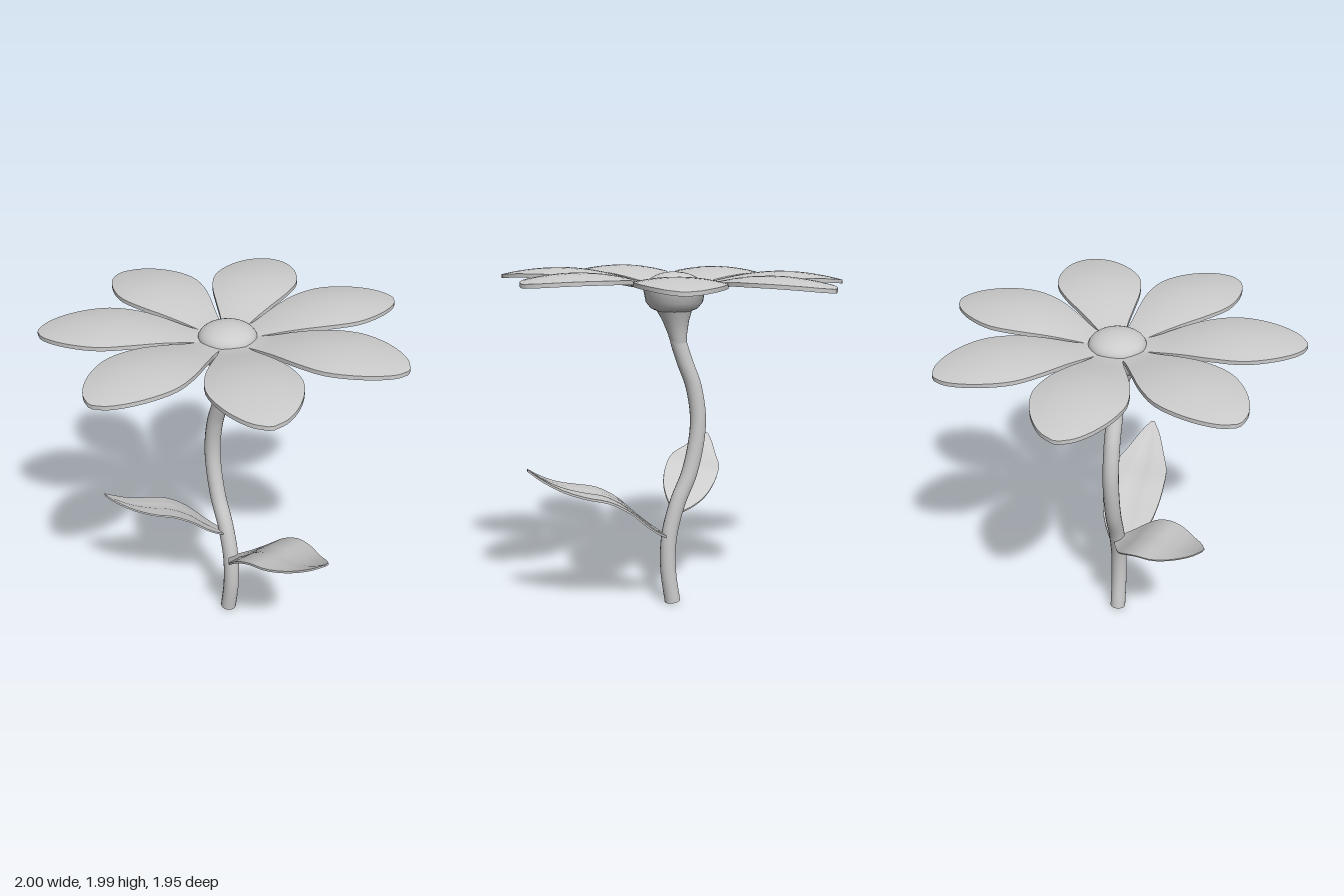
import * as THREE from 'three';
import { toCreasedNormals } from 'three/addons/utils/BufferGeometryUtils.js';

const material = new THREE.MeshStandardMaterial({ color: 0xcccccc });

function addMesh(parent, name, geometry) {
  const mesh = new THREE.Mesh(geometry, material);
  mesh.name = name;
  parent.add(mesh);
  return mesh;
}

// Thin blade running along +z, lofted through stations of [z, y, halfWidth].
// curl drops the side edges, groove sinks the midrib.
function bladeGeometry(stations, { thickness, curl = 0, groove = 0, steps = 20, across = 8 }) {
  const curve = new THREE.CatmullRomCurve3(stations.map(([z, y, w]) => new THREE.Vector3(w, y, z)));
  const ring = 2 * (across + 1);
  const positions = [];
  const index = [];
  for (let i = 0; i <= steps; i++) {
    const p = curve.getPoint(i / steps);
    for (let j = 0; j < ring; j++) {
      const top = j <= across;
      const v = (top ? j : ring - 1 - j) / across * 2 - 1;
      const x = v * p.x;
      const rib = groove * Math.max(0, 1 - Math.abs(v) * 4) * Math.sin(Math.PI * i / steps);
      positions.push(x, p.y - curl * x * x - rib - (top ? 0 : thickness), p.z);
    }
  }
  const quad = (a, b, c, d) => index.push(a, b, c, a, c, d);
  for (let i = 0; i < steps; i++) {
    for (let j = 0; j < ring; j++) {
      const k = (j + 1) % ring;
      quad(i * ring + j, (i + 1) * ring + j, (i + 1) * ring + k, i * ring + k);
    }
  }
  // End caps
  const end = steps * ring;
  for (let j = 0; j < across; j++) {
    const a = j, b = j + 1, c = ring - 2 - j, d = ring - 1 - j;
    quad(a, b, c, d);
    quad(end + d, end + c, end + b, end + a);
  }
  const geometry = new THREE.BufferGeometry();
  geometry.setAttribute('position', new THREE.Float32BufferAttribute(positions, 3));
  geometry.setIndex(index);
  return toCreasedNormals(geometry, 0.7);
}

export function createModel() {
  const model = new THREE.Group();
  model.name = 'flower';

  // Swaying stem
  const stemPath = new THREE.CatmullRomCurve3([
    [0, 0.06], [0.2, 0.086], [0.4, 0.08], [0.6, 0.03], [0.8, -0.05], [1.08, -0.098],
    [1.3, -0.07], [1.45, -0.015], [1.6, 0.03], [1.72, 0.043],
  ].map(([y, z]) => new THREE.Vector3(0, y, z)));
  addMesh(model, 'stem', new THREE.TubeGeometry(stemPath, 48, 0.047, 16));
  const foot = addMesh(model, 'stemEnd', new THREE.CircleGeometry(0.047, 16));
  foot.rotation.x = Math.PI / 2;
  foot.position.set(0, 0.001, 0.06);

  // Flared neck and cup, leaning with the top of the stem
  const cup = new THREE.LatheGeometry([
    [0.044, 1.54], [0.056, 1.61], [0.075, 1.68], [0.1, 1.74], [0.135, 1.755],
    [0.163, 1.79], [0.176, 1.86], [0, 1.875],
  ].map(([r, y]) => new THREE.Vector2(r, y)), 24);
  const pos = cup.attributes.position;
  for (let i = 0; i < pos.count; i++) {
    pos.setZ(i, pos.getZ(i) + 0.045 + Math.min(0, pos.getY(i) - 1.74) * 0.14);
  }
  addMesh(model, 'cup', toCreasedNormals(cup, 0.6));

  // Flower head, tipped slightly backward
  const head = new THREE.Group();
  head.name = 'flowerHead';
  head.position.set(0, 1.88, 0.042);
  head.rotation.x = -0.02;
  model.add(head);

  const dome = addMesh(head, 'flowerCentre',
    new THREE.SphereGeometry(0.16, 24, 10, 0, Math.PI * 2, 0, Math.PI / 2));
  dome.scale.y = 0.5;

  // Seven arched petals
  const petal = bladeGeometry([
    [0.06, -0.005, 0.05], [0.2, 0.015, 0.09], [0.35, 0.05, 0.155], [0.5, 0.077, 0.215],
    [0.66, 0.087, 0.243], [0.8, 0.078, 0.212], [0.92, 0.06, 0.148], [0.99, 0.045, 0.08],
    [1.02, 0.037, 0.015],
  ], { thickness: 0.022, curl: 0.5, steps: 24 });
  for (let i = 0; i < 7; i++) {
    const mesh = addMesh(head, 'petal', petal);
    mesh.rotation.y = Math.PI - 0.015 + i * Math.PI * 2 / 7;
  }

  // Two wavy leaves
  const leaf = bladeGeometry([
    [0, 0, 0.03], [0.07, 0.045, 0.09], [0.16, 0.12, 0.15], [0.26, 0.21, 0.18],
    [0.38, 0.277, 0.184], [0.5, 0.305, 0.17], [0.63, 0.345, 0.118], [0.75, 0.41, 0.06],
    [0.81, 0.455, 0.012],
  ], { thickness: 0.014, groove: 0.012 });

  const frontLeaf = addMesh(model, 'frontLeaf', leaf);
  frontLeaf.position.set(0, 0.417, 0.1);

  const sideLeaf = addMesh(model, 'sideLeaf', leaf);
  sideLeaf.position.set(0, 0.56, 0.03);
  sideLeaf.scale.set(0.86, 0.75, 0.87);
  sideLeaf.rotation.order = 'YXZ';
  sideLeaf.rotation.set(0, Math.PI + Math.atan2(0.64, 0.3), 0.25);

  return model;
}
